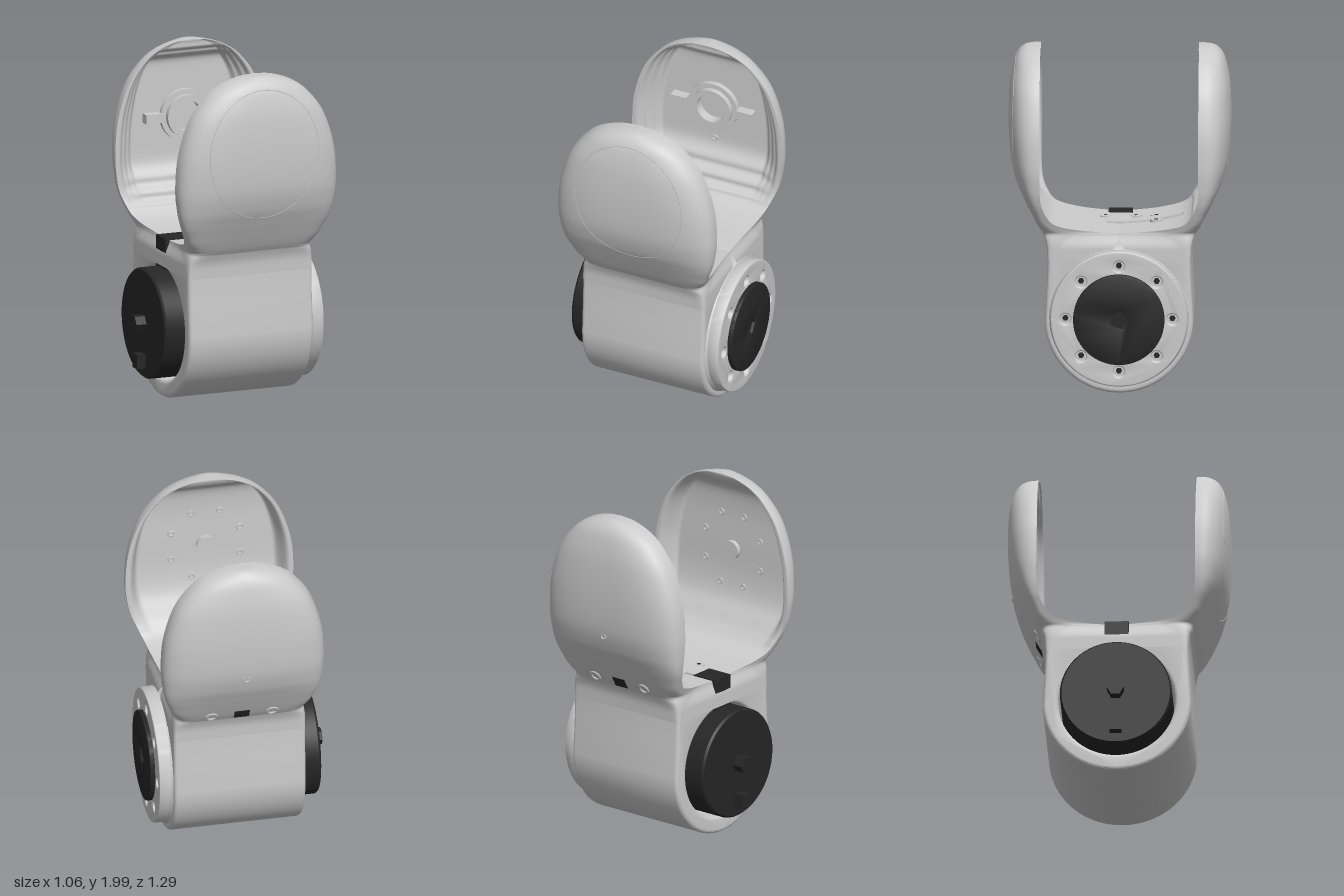
import * as THREE from 'three';
import { toCreasedNormals } from 'three/addons/utils/BufferGeometryUtils.js';

const CX = 0.03; // the arms and housing sit slightly off centre
const grey = new THREE.MeshStandardMaterial({ color: 0xcccccc });
const thin = new THREE.MeshStandardMaterial({ color: 0xcccccc, side: THREE.DoubleSide });
const black = new THREE.MeshStandardMaterial({ color: 0x262626 });

// Fork sections: height, half width, outer depth, rim depth, squareness, floor depth
const rows = [
  [0.79, 0.392, 0.415, 0, 40, 0], [0.87, 0.392, 0.422, 0, 26, 0],
  [0.925, 0.392, 0.44, 0, 13, 0], [0.945, 0.393, 0.452, 0, 10, 0],
  [0.965, 0.397, 0.465, 0.22, 8, 0.22], [1.0, 0.41, 0.485, 0.37, 6, 0.37],
  [1.06, 0.436, 0.517, 0.425, 4.4, 0.445], [1.13, 0.465, 0.553, 0.452, 3.7, 0.495],
  [1.22, 0.488, 0.595, 0.46, 3.2, 0.545], [1.35, 0.5, 0.63, 0.46, 3, 0.568],
  [1.55, 0.483, 0.645, 0.46, 3, 0.572], [1.75, 0.418, 0.64, 0.46, 2.9, 0.572],
  [1.88, 0.322, 0.619, 0.46, 2.7, 0.55], [1.95, 0.225, 0.593, 0.46, 2.5, 0.48],
  [1.99, 0.105, 0.555, 0.458, 2.2, 0.458], [2.0, 0, 0.52, 0.458, 2, 0.458],
];
const curveOf = (a, b, c) => new THREE.CatmullRomCurve3(
  rows.map(r => new THREE.Vector3(r[a], r[b], r[c])), false, 'catmullrom', 0.5);
const curveA = curveOf(0, 1, 2), curveB = curveOf(3, 4, 5);

function section(t) {
  const a = curveA.getPoint(t), b = curveB.getPoint(t);
  const zi = Math.max(0, b.x);
  return { y: Math.min(a.x, 2), w: Math.max(0, a.y), zo: a.z, zi, n: b.y, zf: Math.max(zi, b.z) };
}

// Section at a given height
function sectionAt(y) {
  let lo = 0, hi = 1;
  for (let i = 0; i < 30; i++) { const m = (lo + hi) / 2; if (section(m).y < y) lo = m; else hi = m; }
  return section(lo);
}

// Smooth grid surface from a rule fn(u, v)
function grid(fn, nu, nv, flip) {
  const pos = [], idx = [];
  for (let j = 0; j <= nv; j++) for (let i = 0; i <= nu; i++) pos.push(...fn(i / nu, j / nv));
  for (let j = 0; j < nv; j++) for (let i = 0; i < nu; i++) {
    const a = j * (nu + 1) + i, b = a + 1, c = a + nu + 1, d = c + 1;
    if (flip) idx.push(a, d, b, a, c, d); else idx.push(a, b, d, a, d, c);
  }
  const g = new THREE.BufferGeometry();
  g.setAttribute('position', new THREE.Float32BufferAttribute(pos, 3));
  g.setIndex(idx);
  g.computeVertexNormals();
  return g;
}

function add(parent, name, geo, mat = grey, x = 0, y = 0, z = 0) {
  const m = new THREE.Mesh(geo, mat);
  m.name = name;
  m.position.set(x, y, z);
  parent.add(m);
  return m;
}

// Cylinder along x from x0 to x1
function axial(parent, name, r0, r1, x0, x1, y, z, mat, seg = 64) {
  const g = new THREE.CylinderGeometry(r1, r0, x1 - x0, seg).rotateZ(-Math.PI / 2);
  return add(parent, name, toCreasedNormals(g, 0.6), mat, (x0 + x1) / 2, y, z);
}

// Extrude a (z, y) outline along x from x0 to x1 with bevelled edges
function extrudeX(shape, x0, x1, bevel) {
  const g = new THREE.ExtrudeGeometry(shape, {
    depth: x1 - x0 - 2 * bevel, curveSegments: 48, bevelSize: bevel, bevelThickness: bevel,
    bevelOffset: -bevel, bevelSegments: 4,
  });
  return toCreasedNormals(g.rotateY(Math.PI / 2).translate(x0 + bevel, 0, 0), 0.6);
}

// Ramp from 0 to 1 in three soft steps
const terrace = t => t - Math.sin(6 * Math.PI * t) / (6 * Math.PI);

// Rounded outer skin and hollowed inner face of one arm; s = +1 front, -1 back
function buildArm(s) {
  const arm = new THREE.Group();
  arm.name = s > 0 ? 'frontArm' : 'backArm';
  // the back arm is a little slimmer, and the saddle edges draw in midway between the arms
  const place = (x, y, z) => {
    const slim = s > 0 ? 1 : 1 - 0.035 * THREE.MathUtils.smoothstep(y, 0.95, 1.3);
    const waist = 1 - 0.085 * Math.exp(-z * z / 0.08) * THREE.MathUtils.smoothstep(y, 0.86, 0.955);
    return [CX + x * slim * waist, y, s * z];
  };
  const outer = (u, v) => {
    const k = section(v), th = Math.PI * u, c = Math.cos(th);
    const x = -Math.sign(c) * Math.pow(Math.abs(c), 2 / k.n) * k.w;
    return place(x, k.y, k.zi + (k.zo - k.zi) * Math.pow(Math.max(0, Math.sin(th)), 2 / k.n));
  };
  const ramp = s > 0 ? 0.14 : 0.26;
  const inner = (u, v) => {
    const k = section(0.2 + 0.8 * v), q = 2 * u - 1;
    let t = THREE.MathUtils.clamp((0.95 - Math.abs(q)) / ramp, 0, 1), floor = k.zf;
    // the back recess is terraced all round, the front one is a plain curve
    if (s > 0) t = t * t * (3 - 2 * t);
    else {
      t = terrace(t);
      if (floor > 0.42) floor = Math.max(k.zi, 0.42 + 0.15 * terrace((floor - 0.42) / 0.15));
    }
    return place(q * k.w, k.y, k.zi + (floor - k.zi) * t);
  };
  add(arm, 'armOuterShell', grid(outer, 80, 100, s < 0));
  add(arm, 'armRecess', grid(inner, 100, 120, s > 0));
  return arm;
}

export function createModel() {
  const model = new THREE.Group();
  model.name = 'forkJoint';

  // Housing: rounded barrel, open at its right end
  const outline = new THREE.Shape();
  outline.moveTo(-0.413, 0.865);
  outline.lineTo(-0.413, 0.78);
  outline.lineTo(-0.418, 0.65);
  outline.absarc(0, 0.44, 0.43, Math.PI, 2 * Math.PI, false);
  outline.lineTo(0.418, 0.65);
  outline.lineTo(0.413, 0.78);
  outline.lineTo(0.413, 0.865);
  outline.holes.push(new THREE.Path().absarc(0, 0.45, 0.338, 0, Math.PI * 2, true));
  add(model, 'housing', extrudeX(outline, -0.36, 0.42, 0.022));

  // Arms
  const front = buildArm(1), back = buildArm(-1);
  model.add(front, back);

  // Seam line on the front arm
  const seam = [];
  for (let i = 0; i < 48; i++) {
    const a = i / 48 * Math.PI * 2, x = 0.342 * Math.cos(a), y = 1.545 + 0.385 * Math.sin(a);
    const k = sectionAt(y);
    const bulge = Math.pow(Math.max(0, 1 - Math.pow(Math.abs(x / k.w), k.n)), 1 / k.n);
    seam.push(new THREE.Vector3(CX + x, y, k.zi + (k.zo - k.zi) * bulge - 0.002));
  }
  add(front, 'capSeam', new THREE.TubeGeometry(new THREE.CatmullRomCurve3(seam, true), 120, 0.004, 6, true));

  // Front arm mount: centre boss and ring of screw holes
  const boss = new THREE.CylinderGeometry(0.055, 0.055, 0.04, 32).rotateX(Math.PI / 2);
  add(front, 'mountBoss', toCreasedNormals(boss, 0.6), grey, CX, 1.5, 0.567);
  const hole = new THREE.TorusGeometry(0.016, 0.005, 8, 20);
  for (let i = 0; i < 8; i++) {
    const a = (i + 0.5) / 8 * Math.PI * 2, y = 1.5 + 0.23 * Math.sin(a);
    add(front, 'screwHole', hole, grey, CX + 0.22 * Math.cos(a), y, sectionAt(y).zf);
  }

  // Back arm bearing: ring and two clips
  const ring = [[0.09, 0], [0.09, 0.07], [0.125, 0.07], [0.125, 0.04], [0.155, 0.04], [0.155, 0]];
  const bearing = new THREE.LatheGeometry(ring.map(p => new THREE.Vector2(...p)), 48).rotateX(Math.PI / 2);
  add(back, 'bearingRing', toCreasedNormals(bearing, 0.6), thin, CX, 1.53, -0.58);
  // Pin hole, screw seats and cable slot low on the back arm
  for (const s of [-1, 1]) {
    add(back, 'clip', new THREE.BoxGeometry(0.1, 0.055, 0.07), grey, CX + s * 0.21, 1.53, -0.55);
    const seat = add(back, 'screwSeat', new THREE.TorusGeometry(0.03, 0.01, 8, 24), grey, CX + s * 0.18, 0.975, -0.468);
    seat.rotation.x = -0.5;
  }
  const k = sectionAt(1.3);
  for (const z of [k.zf, k.zo]) add(back, 'pinHole', hole, grey, CX, 1.3, -z);
  const slot = add(back, 'cableSlot', new THREE.BoxGeometry(0.09, 0.07, 0.012), black, CX, 0.975, -0.466);
  slot.rotation.x = -0.5;

  // Cable cover following the saddle between the arms
  const cover = new THREE.Group();
  cover.name = 'cableCover';
  model.add(cover);
  const saddle = z => 0.944 + 0.41 * z * z;
  const strip = (x0, x1, z0, z1) => {
    const g = new THREE.BoxGeometry(x1 - x0, 0.03, z1 - z0, 1, 1, 16).translate((x0 + x1) / 2, 0, (z0 + z1) / 2);
    const p = g.attributes.position;
    for (let i = 0; i < p.count; i++) p.setY(i, p.getY(i) + saddle(p.getZ(i)));
    g.computeVertexNormals();
    add(cover, 'coverStrip', g);
  };
  strip(-0.2, 0.08, -0.07, 0.07);
  strip(-0.03, 0.08, -0.37, 0.08);
  for (const [x, z] of [[-0.045, -0.21], [0.1, -0.21], [-0.11, -0.09], [-0.11, 0.085]]) {
    add(cover, 'screwEar', new THREE.CylinderGeometry(0.034, 0.034, 0.03, 24), grey, x, saddle(z), z);
    add(cover, 'earScrew', new THREE.CylinderGeometry(0.011, 0.011, 0.034, 12), black, x, saddle(z), z);
  }
  add(model, 'cableConnector', new THREE.BoxGeometry(0.165, 0.24, 0.14), black, -0.277, 0.839, 0);

  // Output flange with bolt holes on the left side
  const flange = new THREE.Shape().absarc(0, 0.46, 0.397, 0, Math.PI * 2, false);
  for (let i = 0; i < 8; i++) {
    const a = i / 8 * Math.PI * 2, z = 0.31 * Math.cos(a), y = 0.46 + 0.31 * Math.sin(a);
    flange.holes.push(new THREE.Path().absarc(z, y, 0.032, 0, Math.PI * 2, true));
    axial(model, 'boltSocket', 0.018, 0.018, 0.44, 0.462, y, z, black, 6);
  }
  add(model, 'outputFlange', extrudeX(flange, 0.42, 0.5, 0.008));
  axial(model, 'flangeBase', 0.415, 0.39, 0.4, 0.45, 0.455, 0, grey);

  // Output disc with a five-sided socket
  const hub = new THREE.Shape().absarc(0, 0.46, 0.265, 0, Math.PI * 2, false);
  const socket = new THREE.Path();
  for (let i = 0; i < 5; i++) {
    const a = -i / 5 * Math.PI * 2;
    socket[i ? 'lineTo' : 'moveTo'](0.055 * Math.cos(a), 0.46 + 0.055 * Math.sin(a));
  }
  socket.closePath();
  hub.holes.push(socket);
  add(model, 'outputDisc', extrudeX(hub, 0.49, 0.527, 0.004), black);
  axial(model, 'socketFloor', 0.1, 0.1, 0.45, 0.51, 0.46, 0, black);

  // Motor in the open end, with its shaft and connector
  axial(model, 'motorBody', 0.325, 0.325, -0.46, 0.38, 0.455, 0, black);
  axial(model, 'motorCap', 0.315, 0.325, -0.472, -0.46, 0.455, 0, black);
  axial(model, 'motorShaft', 0.05, 0.05, -0.535, -0.47, 0.46, 0, black, 6);
  add(model, 'motorPlug', new THREE.BoxGeometry(0.06, 0.085, 0.07), black, -0.495, 0.235, 0);
  return model;
}
